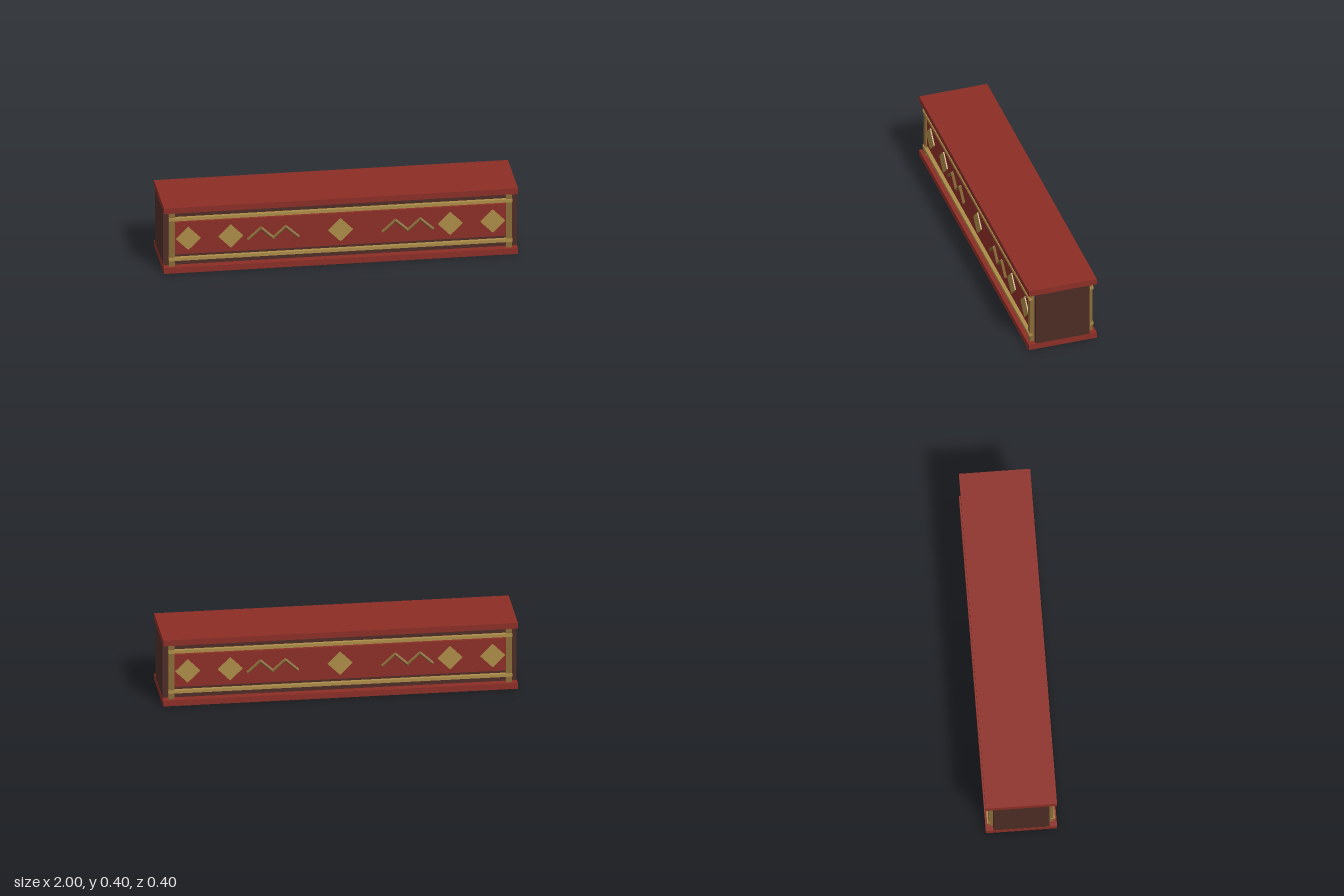
import * as THREE from 'three';

const mat = (color) => new THREE.MeshStandardMaterial({ color, flatShading: true });
const red = mat(0x8b2e25);
const brown = mat(0x4c2c25);
const bronze = mat(0x8a6a37);
const gold = mat(0xab8b48);

function add(parent, name, geometry, material, x = 0, y = 0, z = 0) {
  const mesh = new THREE.Mesh(geometry, material);
  mesh.name = name;
  mesh.position.set(x, y, z);
  parent.add(mesh);
  return mesh;
}
const box = (w, h, d) => new THREE.BoxGeometry(w, h, d);

// Square bar with one edge facing outward, running between two points
function addBar(parent, name, a, b, z) {
  const dx = b[0] - a[0], dy = b[1] - a[1];
  const bar = add(parent, name, new THREE.CylinderGeometry(0.009, 0.009, Math.hypot(dx, dy) + 0.008, 4),
    bronze, (a[0] + b[0]) / 2, (a[1] + b[1]) / 2, z);
  bar.rotation.z = Math.atan2(-dx, dy);
}

// Decorated long face, facing +z
function createFace(name) {
  const face = new THREE.Group();
  face.name = name;
  add(face, 'panel', box(1.9, 0.195, 0.02), red, 0, 0.202, 0.165);

  for (const side of [-1, 1]) {
    add(face, 'cornerPost', box(0.034, 0.33, 0.026), bronze, side * 0.952, 0.2, 0.17);

    // Zigzag inlay
    const zigzag = new THREE.Group();
    zigzag.name = 'zigzag';
    const points = [0, 1, 2, 3, 4].map((i) => [side * (0.24 + i * 0.07), i % 2 ? 0.24 : 0.176]);
    for (let i = 0; i < 4; i++) addBar(zigzag, 'zigzagBar', points[i], points[i + 1], 0.181);
    face.add(zigzag);
  }

  for (const y of [0.08, 0.322]) {
    add(face, 'rail', box(1.94, 0.018, 0.022), gold, 0, y, 0.179);
  }

  // Diamond inlays
  for (const x of [-0.86, -0.62, 0, 0.62, 0.86]) {
    add(face, 'diamond', box(0.099, 0.099, 0.012), gold, x, 0.2, 0.176).rotation.z = Math.PI / 4;
  }
  return face;
}

export function createModel() {
  const model = new THREE.Group();
  model.name = 'ornateBeam';

  add(model, 'core', box(1.998, 0.332, 0.314), brown, 0, 0.2, 0);
  add(model, 'bottomSlab', box(2, 0.035, 0.4), red, 0, 0.0175, 0);
  add(model, 'topSlab', box(2, 0.035, 0.4), red, 0, 0.3825, 0);

  model.add(createFace('frontFace'));
  const back = createFace('backFace');
  back.rotation.y = Math.PI;
  model.add(back);
  return model;
}
